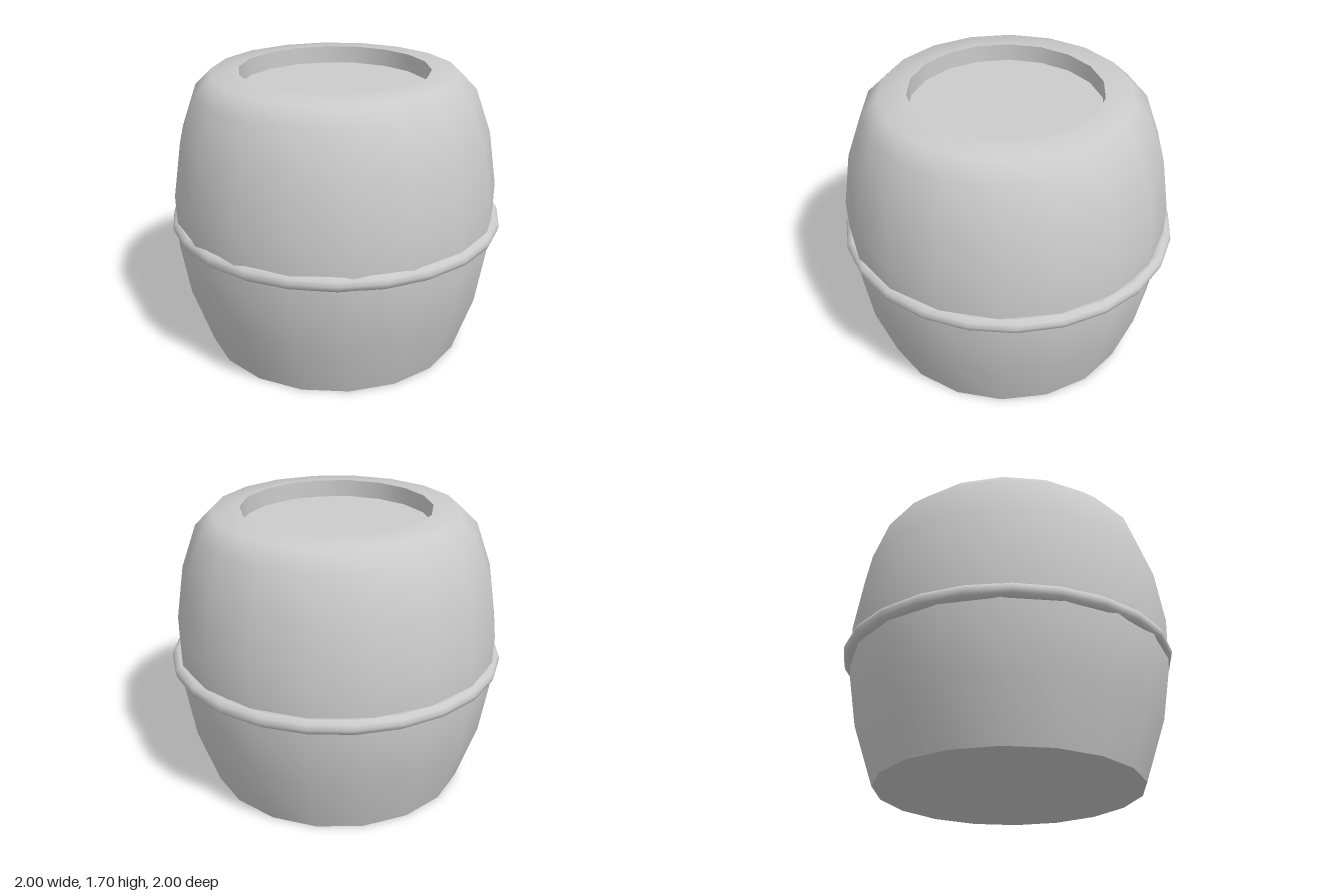
import * as THREE from 'three';

const SIDES = 18;
const TURN = -2 * Math.PI / 180;
const TOP = 1.7, HOLE = 0.565, RECESS = 1.595, BASE = 0.795;

export function createModel() {
  const group = new THREE.Group();
  const material = new THREE.MeshStandardMaterial({ color: 0xcccccc });

  const add = (name, geometry, x, z) => {
    const mesh = new THREE.Mesh(geometry, material);
    mesh.name = name;
    mesh.position.set(x, 0, z);
    group.add(mesh);
  };
  // Each lathe is its own smooth surface, so the edges between them stay sharp
  const turned = (name, profile) => add(
    name,
    new THREE.LatheGeometry(profile.map(([r, y]) => new THREE.Vector2(r, y)), SIDES, TURN),
    -0.008, 0.01
  );

  // Bulging wall, rolling over the shoulder to the rim of the opening
  turned('barrelWall', [
    [BASE, 0], [0.916, 0.36], [0.968, 0.68], [0.975, 1], [0.923, 1.33],
    [0.83, 1.59], [0.73, 1.687], [HOLE, TOP],
  ]);
  // Shallow recess in the top, and the flat base
  turned('recessWall', [[HOLE, TOP], [HOLE, RECESS]]);
  turned('recessFloor', [[HOLE, RECESS], [0, RECESS]]);
  turned('base', [[0, 0], [BASE, 0]]);

  // Round hoop about the middle
  const hoop = new THREE.TorusGeometry(0.963, 0.045, 10, 24);
  hoop.rotateX(-Math.PI / 2).rotateY(Math.PI / 24).translate(0, 0.79, 0);
  add('hoop', hoop, 0, 0);

  return group;
}
